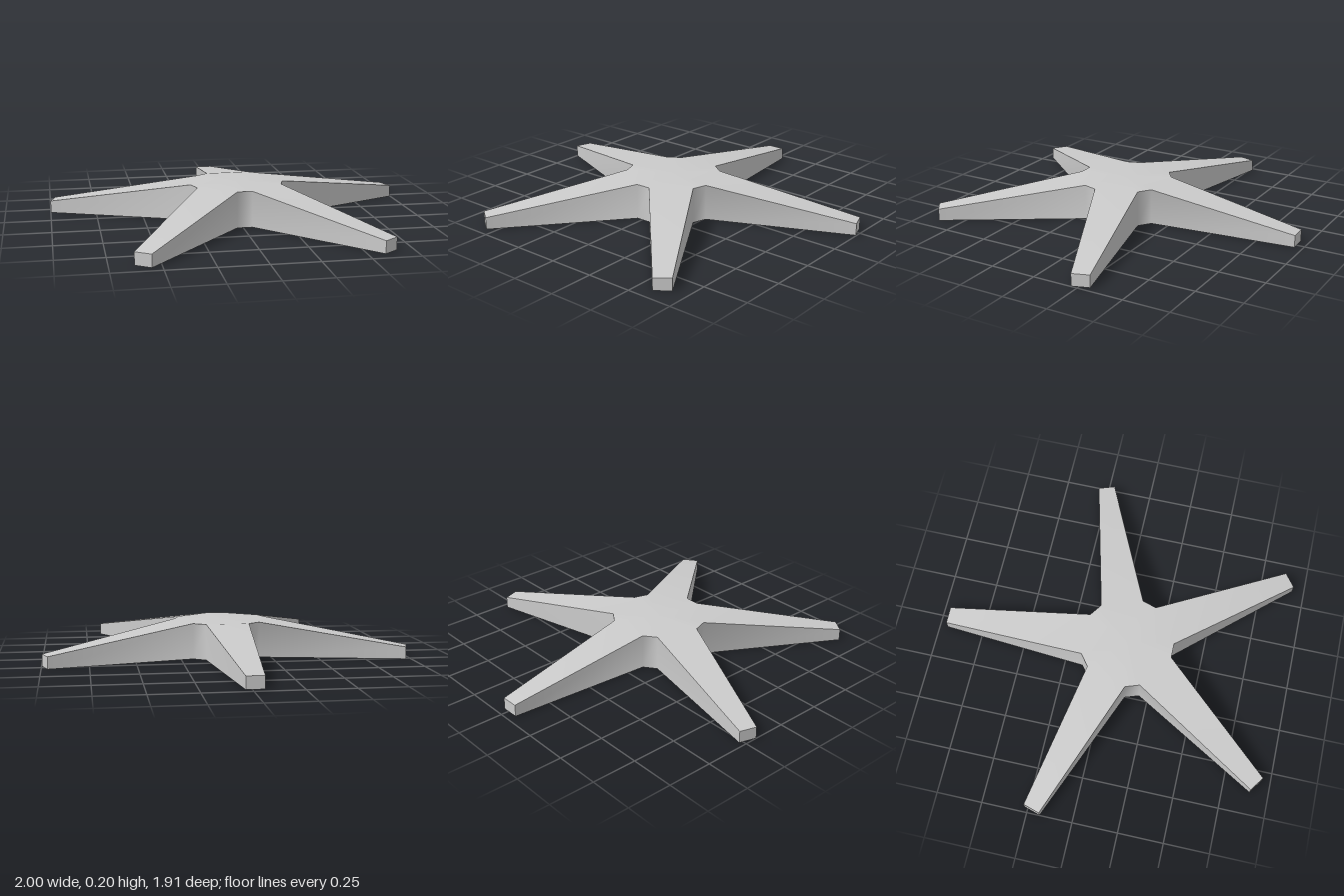
import * as THREE from 'three';
import { toCreasedNormals } from 'three/addons/utils/BufferGeometryUtils.js';

const ARMS = 5;
const TURN = THREE.MathUtils.degToRad(1); // slight twist of the whole star
const CENTRE = { x: 0.0035, z: 0.078 };
const ROOT = { reach: 0.231, half: 0.1175, y: 0.196 };
const TIP = { reach: 1.034, half: 0.047, y: 0.066 };

// Point on an arm: side -1 is its right edge, +1 its left, seen from above
function armPoint(arm, station, side) {
  const a = TURN + (arm * 2 * Math.PI) / ARMS;
  const s = Math.sin(a), c = Math.cos(a), w = side * station.half;
  return new THREE.Vector3(
    CENTRE.x - s * station.reach - c * w,
    station.y,
    CENTRE.z - c * station.reach + s * w
  );
}

function starGeometry() {
  const positions = [];
  const tri = (...points) => points.forEach((p) => positions.push(p.x, p.y, p.z));
  const quad = (a, b, c, d) => { tri(a, b, c); tri(a, c, d); };
  const floor = (p) => new THREE.Vector3(p.x, 0, p.z);

  // Outline, anticlockwise from above, four points per arm
  const outline = [], hub = [];
  for (let k = 0; k < ARMS; k++) {
    const arm = [
      armPoint(k, ROOT, -1), armPoint(k, TIP, -1),
      armPoint(k, TIP, 1), armPoint(k, ROOT, 1),
    ];
    outline.push(...arm);
    hub.push(arm[0], arm[3]);
    quad(...arm); // sloping top
    quad(...arm.map(floor).reverse()); // underside
  }

  // Flat hub, top and bottom
  const top = new THREE.Vector3(CENTRE.x, ROOT.y, CENTRE.z);
  hub.forEach((p, i) => {
    const q = hub[(i + 1) % hub.length];
    tri(top, p, q);
    tri(floor(top), floor(q), floor(p));
  });

  // Side walls, with the narrow bevels between arms
  outline.forEach((p, i) => {
    const q = outline[(i + 1) % outline.length];
    quad(floor(p), floor(q), q, p);
  });

  const geometry = new THREE.BufferGeometry();
  geometry.setAttribute('position', new THREE.Float32BufferAttribute(positions, 3));
  return toCreasedNormals(geometry, THREE.MathUtils.degToRad(60));
}

export function createModel() {
  const group = new THREE.Group();
  group.name = 'starBase';
  const mesh = new THREE.Mesh(
    starGeometry(),
    new THREE.MeshStandardMaterial({ color: 0xcccccc })
  );
  mesh.name = 'fiveArmStar';
  group.add(mesh);
  return group;
}
